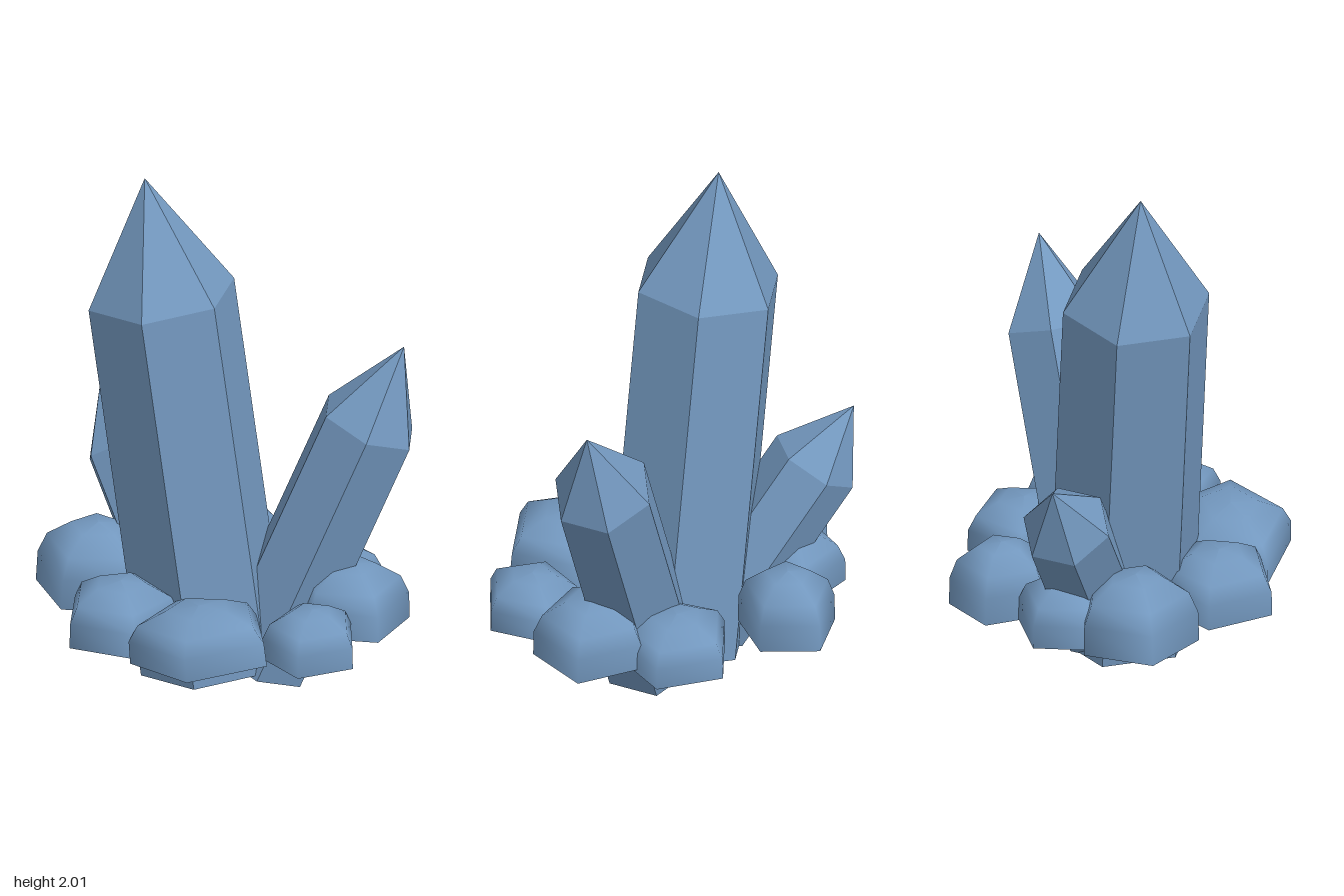
import * as THREE from 'three';

const V = (x, y, z) => new THREE.Vector3(x, y, z);
// Double-sided because the rocks are open shells
const crystalBlue = new THREE.MeshStandardMaterial({ color: 0x7398bf, side: THREE.DoubleSide });
crystalBlue.name = 'crystalBlue';

// Six-sided prism with a pointed tip; ridge is the direction of one of its edges from the axis
function crystal(name, base, shoulder, tip, radius, ridge) {
  const axis = shoulder.clone().sub(base);
  const length = axis.length();
  axis.normalize();
  const profile = [[0, 0], [radius, 0], [radius, length], [0, length + tip]];
  const geometry = new THREE.LatheGeometry(profile.map(([x, y]) => new THREE.Vector2(x, y)), 6).toNonIndexed();
  geometry.computeVertexNormals();
  const out = ridge.clone().projectOnPlane(axis).normalize();
  const side = axis.clone().cross(out);
  geometry.applyMatrix4(new THREE.Matrix4().makeBasis(side, axis, out).setPosition(base));
  const mesh = new THREE.Mesh(geometry, crystalBlue);
  mesh.name = name;
  return mesh;
}

// Smooth five-sided dome, open underneath; angle (degrees, +x towards +z) points at one corner
const domeProfile = [[1, 0], [0.99, 0.43], [0.85, 0.72], [0.45, 0.95], [0, 1]];
function rock(name, x, z, rx, rz, bottom, top, angle, tilt = 0) {
  const geometry = new THREE.LatheGeometry(domeProfile.map(([r, y]) => new THREE.Vector2(r, y)), 5);
  geometry.rotateY(THREE.MathUtils.degToRad(90 - angle));
  geometry.scale(rx, top - bottom, rz);
  const mesh = new THREE.Mesh(geometry, crystalBlue);
  mesh.name = name;
  mesh.position.set(x, bottom, z);
  mesh.rotation.z = tilt;
  return mesh;
}

export function createModel() {
  const model = new THREE.Group();
  model.name = 'crystalCluster';

  // Crystals
  model.add(
    crystal('tallCrystal', V(-0.02, 0.05, 0), V(-0.223, 1.53, 0), 0.475, 0.284, V(0, 0, 1)),
    crystal('leaningCrystal', V(0.153, 0.06, -0.02), V(0.555, 1.05, -0.1), 0.343, 0.195, V(0.04, 0, 0.187)),
    crystal('smallCrystal', V(-0.09, 0.11, -0.085), V(-0.445, 0.74, -0.333), 0.27, 0.172, V(0.17, 0.1, 0.01)),
  );

  // Ring of rocks: x, z, x radius, z radius, bottom, top, corner angle, tilt
  const rocks = [
    [-0.5, -0.075, 0.23, 0.235, 0.25, 0.525, 180, -0.04],
    [-0.3, 0.3, 0.225, 0.225, 0.25, 0.475, -11],
    [0.06, 0.44, 0.28, 0.24, 0.265, 0.475, 90, 0.1],
    [0.445, 0.315, 0.185, 0.2, 0.255, 0.45, 90],
    [0.51, -0.015, 0.22, 0.22, 0.265, 0.505, -24],
    [0.335, -0.28, 0.22, 0.22, 0.25, 0.45, -90],
    [-0.08, -0.485, 0.185, 0.195, 0.245, 0.505, -4],
    [-0.35, -0.3, 0.2, 0.2, 0.25, 0.465, -52],
  ];
  rocks.forEach((r, i) => model.add(rock('rock' + (i + 1), ...r)));

  return model;
}
